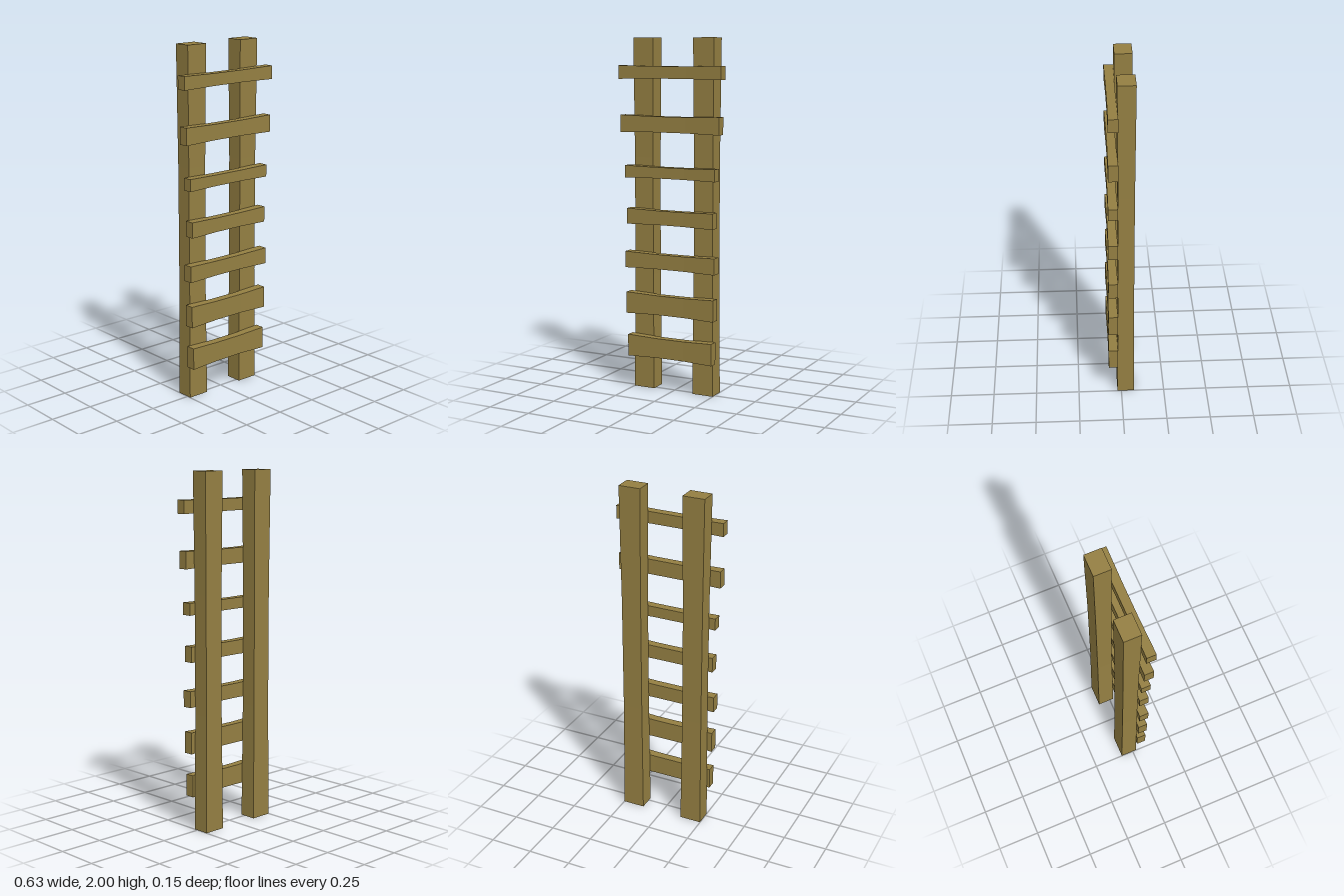
import * as THREE from 'three';

const wood = new THREE.MeshStandardMaterial({ color: 0x947f42 });
wood.name = 'wood';

// Box in three sections along one axis, slightly slimmer in the middle section
function hewnBeam(name, size, axis, waist) {
  const segments = { x: 1, y: 1, z: 1, [axis]: 3 };
  const geometry = new THREE.BoxGeometry(size.x, size.y, size.z, segments.x, segments.y, segments.z);
  const p = geometry.attributes.position;
  const v = new THREE.Vector3();
  for (let i = 0; i < p.count; i++) {
    v.fromBufferAttribute(p, i);
    const along = v[axis];
    if (Math.abs(along) < size[axis] * 0.4) {
      v.multiplyScalar(waist);
      v[axis] = along;
    }
    p.setXYZ(i, v.x, v.y, v.z);
  }
  // Flat facets
  const flat = geometry.toNonIndexed();
  flat.computeVertexNormals();
  const mesh = new THREE.Mesh(flat, wood);
  mesh.name = name;
  return mesh;
}

export function createModel() {
  const ladder = new THREE.Group();
  ladder.name = 'ladder';

  // Two upright posts
  for (const [name, side] of [['leftPost', 1], ['rightPost', -1]]) {
    const post = hewnBeam(name, { x: 0.126, y: 2, z: 0.098 }, 'y', 0.92);
    post.position.set(side * 0.186, 1, -0.026);
    ladder.add(post);
  }

  // Uneven rungs on the front: bottom, top, half length
  const rungs = [
    [0.190, 0.315, 0.264],
    [0.440, 0.563, 0.273],
    [0.705, 0.798, 0.280],
    [0.957, 1.046, 0.268],
    [1.220, 1.289, 0.280],
    [1.475, 1.572, 0.305],
    [1.772, 1.847, 0.316],
  ];
  rungs.forEach(([bottom, top, half], i) => {
    const rung = hewnBeam(`rung${i + 1}`, { x: half * 2, y: top - bottom, z: 0.054 }, 'x', 0.9);
    rung.position.set(0, (bottom + top) / 2, 0.047);
    ladder.add(rung);
  });

  return ladder;
}
